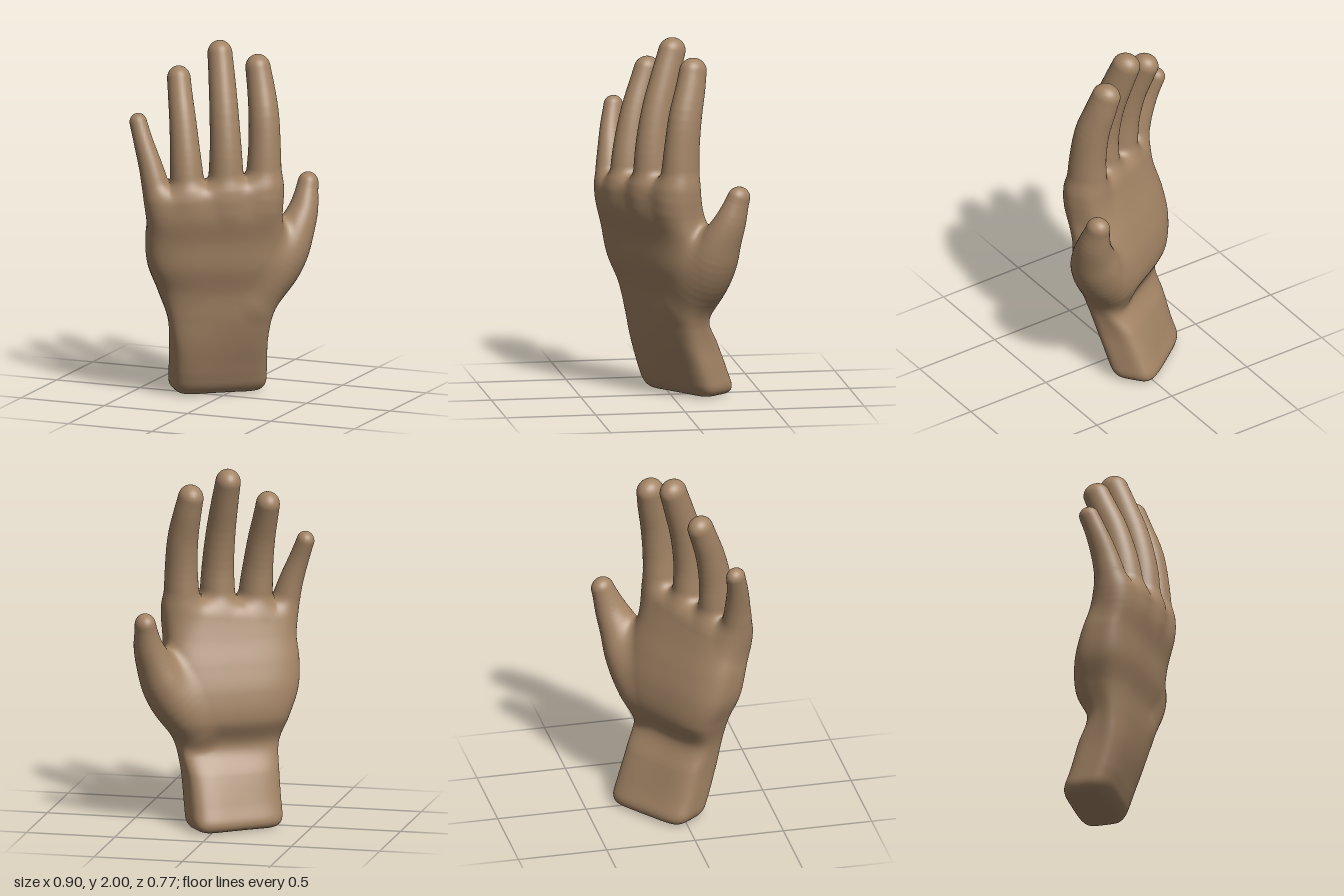
import * as THREE from 'three';

const skin = new THREE.MeshStandardMaterial({ color: 0xa38465 });

// Wrist and palm sections every 0.15 up: [x, z, radiusX, radiusZ, squareness, twist]
// (+z is the back of the hand, +x the thumb side)
const SECTION_GAP = 0.15;
const SECTIONS = [
  [-0.015, -0.15, 0.266, 0.14, 4, 0.11],
  [-0.018, -0.097, 0.266, 0.138, 4, 0.11],
  [-0.022, -0.043, 0.268, 0.134, 4, 0.06],
  [-0.022, 0.008, 0.288, 0.118, 3.4, 0],
  [-0.03, -0.01, 0.332, 0.16, 3.2, 0],
  [-0.045, 0.015, 0.375, 0.179, 3.1, 0],
  [-0.055, 0.048, 0.382, 0.169, 3.1, 0],
  [-0.06, 0.093, 0.37, 0.158, 3.1, 0],
  [-0.06, 0.115, 0.367, 0.134, 3, 0],
  [-0.06, 0.115, 0.36, 0.11, 3, 0],
];

// Digits from buried root to tip: [x, y, z, radius]
const DIGITS = {
  littleFinger: [[-0.33, 0.95, 0.08, 0.06], [-0.36, 1.08, 0.105, 0.085], [-0.388, 1.20, 0.102, 0.082],
    [-0.415, 1.32, 0.082, 0.07], [-0.45, 1.45, 0.048, 0.058], [-0.475, 1.558, 0.01, 0.052]],
  ringFinger: [[-0.20, 0.95, 0.08, 0.07], [-0.213, 1.12, 0.118, 0.102], [-0.22, 1.27, 0.112, 0.099],
    [-0.227, 1.42, 0.092, 0.088], [-0.234, 1.58, 0.05, 0.079], [-0.24, 1.70, 0.002, 0.073], [-0.243, 1.79, -0.036, 0.07]],
  middleFinger: [[-0.01, 0.95, 0.08, 0.07], [-0.005, 1.12, 0.13, 0.108], [-0.003, 1.27, 0.128, 0.103],
    [-0.004, 1.42, 0.122, 0.094], [-0.008, 1.62, 0.083, 0.086], [-0.012, 1.80, 0.022, 0.079], [-0.016, 1.926, -0.025, 0.074]],
  indexFinger: [[0.18, 0.95, 0.08, 0.07], [0.20, 1.12, 0.118, 0.108], [0.21, 1.27, 0.108, 0.104],
    [0.215, 1.42, 0.10, 0.096], [0.214, 1.60, 0.074, 0.09], [0.203, 1.75, 0.028, 0.081], [0.192, 1.845, 0, 0.075]],
  thumb: [[0.17, 0.55, -0.005, 0.11], [0.27, 0.68, -0.01, 0.138], [0.345, 0.80, -0.012, 0.135],
    [0.405, 0.92, -0.024, 0.11], [0.452, 1.03, -0.048, 0.086], [0.482, 1.168, -0.085, 0.062]],
};
const NAMES = ['wristAndPalm', ...Object.keys(DIGITS)];
const SLIM = 1.08; // digits are a little deeper than wide

// Smooth each digit's path into many short tapered segments
const SEGMENTS = 20;
const CHAINS = Object.values(DIGITS).map(points => {
  const path = new THREE.CatmullRomCurve3(points.map(p => new THREE.Vector3(p[0] * SLIM, p[1], p[2] / SLIM)));
  const radii = new THREE.SplineCurve(points.map((p, i) => new THREE.Vector2(i, p[3])));
  return Array.from({ length: SEGMENTS + 1 }, (_, i) =>
    [...path.getPoint(i / SEGMENTS).toArray(), radii.getPoint(i / SEGMENTS).y]);
});

const smoothMin = (a, b, k) => Math.min(a, b) - Math.max(k - Math.abs(a - b), 0) ** 2 / (4 * k);
const smoothMax = (a, b, k) => -smoothMin(-a, -b, k);

function catmull(a, b, c, d, t) {
  return b + 0.5 * t * (c - a + t * (2 * a - 5 * b + 4 * c - d + t * (3 * (b - c) + d - a)));
}

// Distance to the wrist and palm, closed below and along the knuckle line
function palmDistance(x, y, z) {
  const end = SECTIONS.length - 1;
  const s = Math.min(Math.max(y / SECTION_GAP, 0), end - 0.001), i = Math.floor(s);
  const [a, b, c, d] = [i - 1, i, i + 1, i + 2].map(n => SECTIONS[Math.min(Math.max(n, 0), end)]);
  const [cx, cz, rx, rz, p, twist] = a.map((_, n) => catmull(a[n], b[n], c[n], d[n], s - i));
  const cos = Math.cos(twist), sin = Math.sin(twist);
  const X = Math.abs((x - cx) * cos - (z - cz) * sin) / rx;
  const Z = Math.abs((x - cx) * sin + (z - cz) * cos) / rz;
  const m = Math.max((X ** p + Z ** p) ** (1 / p), 1e-4);
  const slope = Math.hypot((X / m) ** (p - 1) / rx, (Z / m) ** (p - 1) / rz);
  const side = (m - 1) / Math.max(slope, 1);
  return smoothMax(smoothMax(side, -y, 0.08), y - 1.245 - 0.1 * x, 0.09);
}

// Distance to a chain of round cones
function digitDistance(chain, px, y, pz) {
  const x = px * SLIM, z = pz / SLIM;
  let best = Infinity;
  for (let i = 0; i < chain.length - 1; i++) {
    const [ax, ay, az, ar] = chain[i], [bx, by, bz, br] = chain[i + 1];
    const dx = bx - ax, dy = by - ay, dz = bz - az, qx = x - ax, qy = y - ay, qz = z - az;
    const length2 = dx * dx + dy * dy + dz * dz, dr = br - ar;
    const along = (qx * dx + qy * dy + qz * dz) / length2;
    const off = Math.sqrt(Math.max(qx * qx + qy * qy + qz * qz - along * along * length2, 0));
    const lead = off * dr / Math.sqrt(Math.max(length2 - dr * dr, 1e-8) * length2);
    const t = Math.min(Math.max(along + lead, 0), 1);
    const ex = qx - t * dx, ey = qy - t * dy, ez = qz - t * dz;
    best = Math.min(best, Math.sqrt(ex * ex + ey * ey + ez * ez) - ar - t * dr);
  }
  return best;
}

const partDistances = (x, y, z) =>
  [palmDistance(x, y, z), ...CHAINS.map(chain => digitDistance(chain, x, y, z))];

// All parts melted together, with a softer join at the thumb
function handDistance(x, y, z) {
  const [palm, little, ring, middle, index, thumb] = partDistances(x, y, z);
  return smoothMin(smoothMin(palm, Math.min(little, ring, middle, index), 0.05), thumb, 0.07);
}

function gradient([x, y, z]) {
  const e = 0.004;
  return [
    (handDistance(x + e, y, z) - handDistance(x - e, y, z)) / (2 * e),
    (handDistance(x, y + e, z) - handDistance(x, y - e, z)) / (2 * e),
    (handDistance(x, y, z + e) - handDistance(x, y, z - e)) / (2 * e),
  ];
}

export function createModel() {
  // Sample the hand on a grid
  const cell = 0.0135, origin = [-0.58, -0.035, -0.33], size = [88, 154, 50];
  const step = [1, size[0], size[0] * size[1]];
  const field = new Float32Array(size[0] * size[1] * size[2]).fill(1);
  const place = (i, j, k, shift) => [i, j, k].map((n, a) => origin[a] + (n + shift) * cell);
  const eachPoint = visit => {
    for (let k = 1; k < size[2] - 1; k++)
      for (let j = 1; j < size[1] - 1; j++)
        for (let i = 1; i < size[0] - 1; i++) visit(i + j * step[1] + k * step[2], i, j, k);
  };
  eachPoint((id, i, j, k) => { field[id] = handDistance(...place(i, j, k, 0)); });

  // One vertex per cell that the skin crosses, slid onto the skin
  const positions = [], normals = [], owners = [], vertexAt = new Map();
  eachPoint((id, i, j, k) => {
    let inside = 0;
    for (let n = 0; n < 8; n++) {
      if (field[id + (n & 1) + ((n >> 1) & 1) * step[1] + (n >> 2) * step[2]] < 0) inside++;
    }
    if (inside === 0 || inside === 8) return;
    let p = place(i, j, k, 0.5);
    for (let pass = 0; pass < 3; pass++) {
      const g = gradient(p), move = handDistance(...p) / Math.max(g[0] ** 2 + g[1] ** 2 + g[2] ** 2, 0.2);
      p = p.map((v, a) => v - g[a] * Math.min(Math.max(move, -cell), cell));
    }
    const near = partDistances(...p);
    vertexAt.set(id, owners.length);
    owners.push(near.indexOf(Math.min(...near)));
    positions.push(...p);
    normals.push(...new THREE.Vector3(...gradient(p)).normalize().toArray());
  });

  // Join the four cells around each crossed grid edge, sorted by part
  const faces = NAMES.map(() => []);
  eachPoint(id => {
    for (let a = 0; a < 3; a++) {
      const out = field[id] < 0, b = step[(a + 1) % 3], c = step[(a + 2) % 3];
      if (out === field[id + step[a]] < 0) continue;
      const quad = [id, id - b, id - b - c, id - c].map(n => vertexAt.get(n));
      if (!out) quad.reverse();
      const [p, q, r, s] = quad;
      faces[owners[p]].push(p, q, r, p, r, s);
    }
  });

  // One mesh per part, all sharing the same skin points
  const hand = new THREE.Group();
  hand.name = 'hand';
  const position = new THREE.Float32BufferAttribute(positions, 3);
  const normal = new THREE.Float32BufferAttribute(normals, 3);
  NAMES.forEach((name, n) => {
    const geometry = new THREE.BufferGeometry();
    geometry.setAttribute('position', position);
    geometry.setAttribute('normal', normal);
    geometry.setIndex(faces[n]);
    const mesh = new THREE.Mesh(geometry, skin);
    mesh.name = name;
    hand.add(mesh);
  });

  // Turn the hand so its back faces front left
  hand.rotation.y = 0.54;
  const model = new THREE.Group();
  model.name = 'handModel';
  model.add(hand);
  return model;
}
